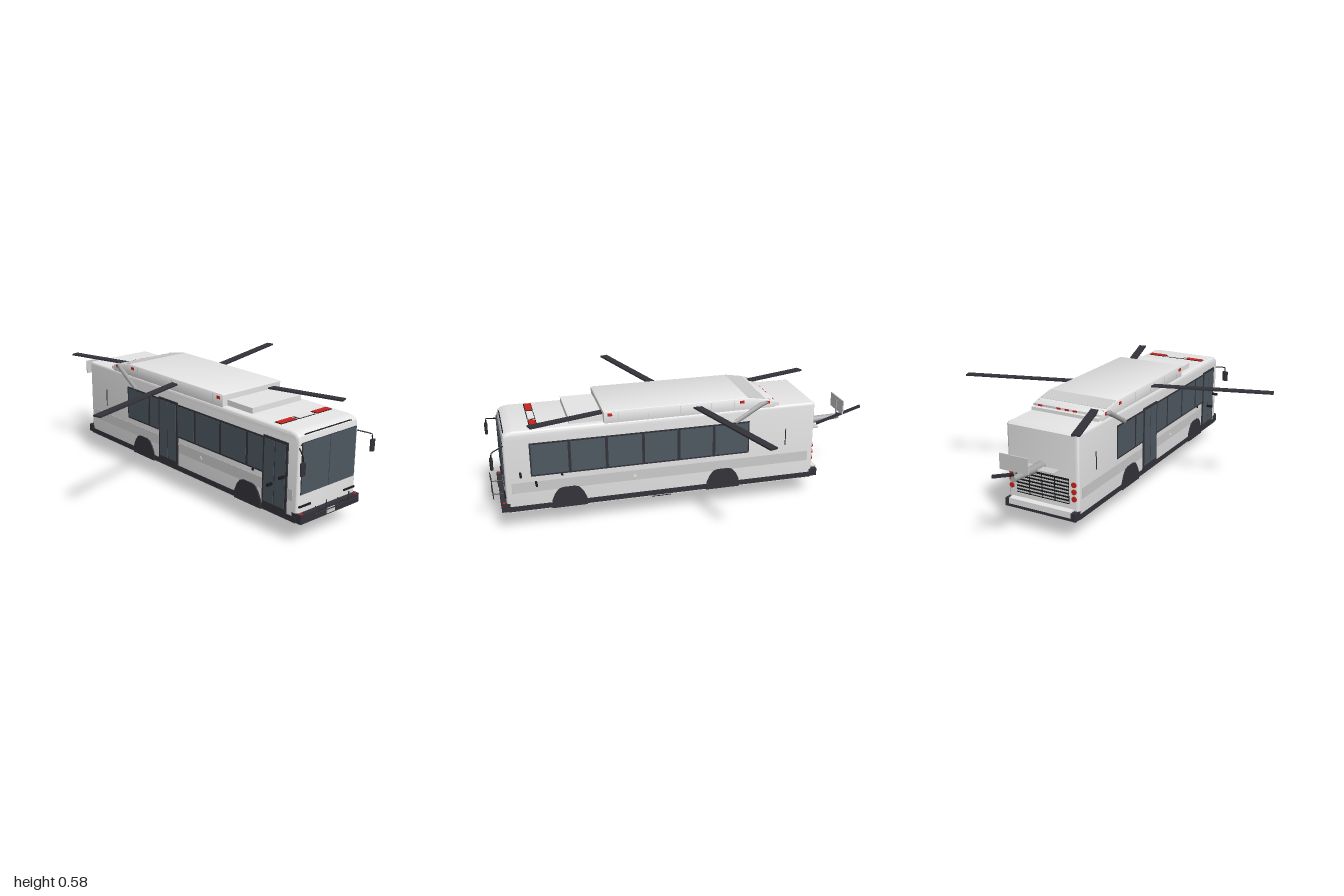
import * as THREE from 'three';
import { toCreasedNormals } from 'three/addons/utils/BufferGeometryUtils.js';

export function createModel() {
  const root = new THREE.Group();
  root.name = 'rotorBus';
  const mat = (name, color) => {
    const m = new THREE.MeshStandardMaterial({ color });
    m.name = name;
    return m;
  };
  const white = mat('bodyWhite', 0xe5e5e6), stripe = mat('stripeGrey', 0xcbcbcc);
  const dark = mat('darkTrim', 0x323239), black = mat('black', 0x1b1b1d);
  const glass = mat('glass', 0x4e5860), red = mat('red', 0xc8231e);
  const metal = mat('metalGrey', 0xa6a6a6), hullMat = mat('hullGrey', 0x929290);
  hullMat.side = THREE.DoubleSide;

  const add = (name, geo, material, parent = root) => {
    const m = new THREE.Mesh(geo, material);
    m.name = name;
    parent.add(m);
    return m;
  };
  // Box from its limits on each axis
  const box = (name, material, x0, x1, y0, y1, z0, z1, parent = root) => {
    const m = add(name, new THREE.BoxGeometry(x1 - x0, y1 - y0, z1 - z0), material, parent);
    m.position.set((x0 + x1) / 2, (y0 + y1) / 2, (z0 + z1) / 2);
    return m;
  };
  // Side outline of [z, y] points, extruded across x with a bevel
  const sideExtrude = (pts, halfWidth, bevel) => {
    const shape = new THREE.Shape(pts.map(([z, y]) => new THREE.Vector2(z, y)));
    const geo = new THREE.ExtrudeGeometry(shape, {
      depth: 2 * (halfWidth - bevel), bevelEnabled: bevel > 0,
      bevelThickness: bevel, bevelSize: bevel, bevelOffset: -bevel, bevelSegments: 4,
    });
    geo.translate(0, 0, -(halfWidth - bevel));
    geo.rotateY(-Math.PI / 2);
    return toCreasedNormals(geo, 0.6);
  };
  const rod = (name, points, r, material, parent = root) => {
    const path = new THREE.CurvePath();
    const v = points.map((p) => new THREE.Vector3(...p));
    for (let i = 1; i < v.length; i++) path.add(new THREE.LineCurve3(v[i - 1], v[i]));
    return add(name, new THREE.TubeGeometry(path, (v.length - 1) * 4, r, 8, false), material, parent);
  };

  // Body shell, dark skirt and bumpers
  add('body', sideExtrude([[-0.655, 0.105], [0.93, 0.105], [0.928, 0.475], [0.922, 0.5],
    [0.905, 0.513], [0.875, 0.519], [-0.645, 0.519], [-0.655, 0.509]], 0.195, 0.016), white);
  box('floor', white, -0.194, 0.194, 0.098, 0.112, -0.655, 0.925);
  box('skirt', dark, -0.197, 0.197, 0.103, 0.13, -0.65, 0.925);
  box('frontBumper', dark, -0.195, 0.195, 0.105, 0.148, 0.9, 0.955);
  box('rearBumper', dark, -0.195, 0.195, 0.105, 0.145, -0.685, -0.64);
  box('rearBumperStep', white, -0.17, 0.17, 0.122, 0.152, -0.69, -0.64);
  box('frontPlate', stripe, -0.026, 0.026, 0.112, 0.137, 0.955, 0.959);

  // Windscreen
  box('windscreenFrame', dark, -0.177, 0.177, 0.232, 0.473, 0.92, 0.931);
  for (const s of [-1, 1]) {
    const a = s * 0.002, b = s * 0.175;
    box('windscreenPane', glass, Math.min(a, b), Math.max(a, b), 0.234, 0.471, 0.926, 0.934);
  }
  rod('browTrim', [[-0.182, 0.46, 0.926], [-0.176, 0.502, 0.916], [0.176, 0.502, 0.916],
    [0.182, 0.46, 0.926]], 0.004, black);

  // Sides
  const archPts = [[-0.088, 0.1], [-0.086, 0.14], [-0.07, 0.175], [-0.05, 0.2], [-0.03, 0.207],
    [0.03, 0.207], [0.05, 0.2], [0.07, 0.175], [0.086, 0.14], [0.088, 0.1]].reverse();
  for (const s of [-1, 1]) {
    const side = new THREE.Group();
    side.name = s > 0 ? 'leftSide' : 'rightSide';
    root.add(side);
    const plate = (name, m, z0, z1, y0, y1, x = 0.197, t = 0.006) =>
      box(name, m, s > 0 ? x - t : -x, s > 0 ? x : t - x, y0, y1, z0, z1, side);

    plate('stripe', stripe, -0.625, 0.9, 0.2, 0.253, 0.1965);
    plate('windowFrame', dark, -0.3, 0.805, 0.281, 0.453, 0.198);
    const edges = [0.805, 0.615, 0.433, 0.25, 0.07, -0.113, -0.3];
    for (let i = 0; i < 6; i++)
      plate('sideWindow', glass, edges[i + 1] + 0.007, edges[i] - 0.007, 0.289, 0.445, 0.199);
    // Passenger doors on the right side
    if (s < 0) for (const z of [-0.03, 0.72]) {
      plate('doorFrame', dark, z, z + 0.15, 0.125, 0.462, 0.202);
      for (const k of [0, 1])
        plate('doorGlass', glass, z + 0.01 + k * 0.068, z + 0.072 + k * 0.068, 0.15, 0.45, 0.204);
    }
    for (const z of [0.625, -0.163]) {
      const arch = add('wheelArch', sideExtrude(archPts, 0.004, 0), dark, side);
      arch.position.set(s * 0.197, 0, z);
    }
    plate('rearHandle', dark, -0.5, -0.496, 0.3, 0.39, 0.198);
    plate('fillerCap', white, 0.289, 0.301, 0.217, 0.229, 0.199);
    plate('sideMarker', black, 0.65, 0.66, 0.27, 0.28, 0.2);

    // Short side sensors
    for (const [z, y] of [[0.855, 0.303], [0.783, 0.248]]) {
      box('sensorArm', black, s > 0 ? 0.19 : -0.236, s > 0 ? 0.236 : -0.19, y - 0.006, y + 0.006,
        z - 0.005, z + 0.005, side);
    }
    // Mirror on a bent arm
    rod('mirrorArm', [[s * 0.185, 0.45, 0.92], [s * 0.215, 0.442, 0.965], [s * 0.228, 0.437, 0.982],
      [s * 0.23, 0.4, 0.985]], 0.003, black, side);
    const mirror = add('mirror', new THREE.CylinderGeometry(0.017, 0.015, 0.056, 10), dark, side);
    mirror.scale.z = 0.5;
    mirror.position.set(s * 0.23, 0.383, 0.985);

    // Front rods and lamps
    rod('frontRod', [[s * 0.075, 0.15, 0.925], [s * 0.075, 0.152, 0.99], [s * 0.075, 0.205, 0.992]],
      0.0025, dark, side);
    const fx = (n, m, a, b, ...r) => box(n, m, s > 0 ? a : -b, s > 0 ? b : -a, ...r, side);
    fx('headlampBar', black, 0.11, 0.185, 0.174, 0.182, 0.925, 0.936);
    fx('bumperLamp', red, 0.172, 0.188, 0.142, 0.1495, 0.935, 0.948);
    // Roof lamps
    fx('roofLampTray', black, 0.064, 0.168, 0.513, 0.5205, 0.753, 0.793);
    fx('roofLamp', red, 0.068, 0.164, 0.516, 0.5235, 0.757, 0.789);
    // Tail lamps
    for (const y of [0.205, 0.24, 0.275]) {
      const lamp = add('tailLamp', new THREE.CylinderGeometry(0.013, 0.013, 0.008, 16), red, side);
      lamp.rotation.x = Math.PI / 2;
      lamp.position.set(s * 0.172, y, -0.656);
    }
    // Exhaust strut and pod marker lamps
    rod('exhaustStrut', [[s * 0.194, 0.455, -0.225], [s * 0.19, 0.54, -0.37], [s * 0.175, 0.545, -0.41]],
      0.013, metal, side);
    for (const [z, y] of [[0.41, 0.557], [-0.26, 0.557], [-0.395, 0.543]])
      plate('podLamp', red, z - 0.011, z + 0.011, y - 0.007, y + 0.007, 0.193);
    for (const z of [0.37, 0.22, 0.06, -0.1, -0.22])
      plate('podSeam', stripe, z - 0.001, z + 0.001, 0.525, 0.568, 0.1905);
  }
  rod('frontCrossRod', [[-0.14, 0.153, 0.988], [0.135, 0.153, 0.988]], 0.0025, dark);
  box('roofLampTray', black, -0.053, 0.053, 0.513, 0.5205, 0.753, 0.793);
  box('centreRoofLamp', white, -0.049, 0.049, 0.516, 0.5235, 0.757, 0.789);

  // Roof pod with sloped tail and lower front step
  add('roofPod', sideExtrude([[-0.435, 0.51], [0.44, 0.51], [0.44, 0.572], [0.432, 0.576],
    [-0.29, 0.576], [-0.385, 0.56], [-0.435, 0.546]], 0.19, 0.003), white);
  add('podSlope', sideExtrude([[-0.385, 0.5612], [-0.29, 0.5772], [-0.29, 0.572], [-0.385, 0.556]].reverse(),
    0.186, 0), stripe);
  box('podStep', white, -0.16, 0.16, 0.512, 0.546, 0.43, 0.605);
  box('podTailLip', white, -0.185, 0.185, 0.512, 0.535, -0.458, -0.43);
  for (const x of [-0.15, -0.045, 0, 0.045, 0.15])
    box('podTailLamp', red, x - 0.011, x + 0.011, 0.537, 0.545, -0.44, -0.432);

  // Main rotor: four blades
  const rotor = new THREE.Group();
  rotor.name = 'mainRotor';
  rotor.position.set(0, 0.552, 0.03);
  rotor.rotation.y = 0.299;
  root.add(rotor);
  for (let i = 0; i < 4; i++) {
    const arm = new THREE.Group();
    arm.name = 'rotorBlade';
    arm.rotation.y = i * Math.PI / 2;
    rotor.add(arm);
    box('blade', dark, 0.05, 0.808, -0.004, 0.004, -0.02, 0.02, arm);
  }

  // Rear wall: slatted grille
  box('grille', black, -0.145, 0.145, 0.175, 0.3, -0.657, -0.65);
  for (let i = 0; i < 7; i++)
    box('grilleSlat', stripe, -0.143, 0.143, 0.181 + i * 0.017, 0.188 + i * 0.017, -0.6595, -0.655);
  for (const x of [-0.07, 0, 0.07]) box('grillePost', black, x - 0.002, x + 0.002, 0.176, 0.3, -0.6605, -0.655);

  // Tail boom, stabiliser, fin and tail rotor
  const boom = add('tailBoom', new THREE.CylinderGeometry(0.014, 0.022, 0.23, 12), metal);
  boom.rotation.x = -Math.PI / 2 + 0.05;
  boom.position.set(0, 0.345, -0.765);
  box('stabiliser', stripe, -0.106, 0.103, 0.336, 0.342, -0.722, -0.672);
  box('tailFin', stripe, -0.078, 0.073, 0.385, 0.46, -0.876, -0.87);
  rod('finPost', [[0, 0.345, -0.868], [0, 0.45, -0.868]], 0.005, metal);
  rod('tailRotorShaft', [[-0.005, 0.365, -0.872], [0.024, 0.365, -0.872]], 0.007, black);
  const tail = box('tailRotorBlade', dark, 0.018, 0.024, 0.357, 0.373, -1.003, -0.741);
  tail.rotation.x = 0.29;

  // Belly hull lofted from V-shaped sections: [z, half width, keel y]
  const stations = [[0.64, 0.03, 0.09], [0.55, 0.075, 0.068], [0.43, 0.1, 0.036], [0.3, 0.11, 0.03],
    [0, 0.11, 0.028], [-0.2, 0.085, 0.03], [-0.33, 0.035, 0.034]];
  const N = 12, pos = [], idx = [];
  for (const [z, w, y] of stations)
    for (let i = 0; i <= N; i++) {
      const t = -1 + 2 * i / N;
      pos.push(t * w, y + (0.104 - y) * Math.pow(Math.abs(t), 1.6), z);
    }
  for (let j = 0; j < stations.length - 1; j++)
    for (let i = 0; i < N; i++) {
      const a = j * (N + 1) + i, b = a + N + 1;
      idx.push(a, b, a + 1, a + 1, b, b + 1);
    }
  for (const j of [0, stations.length - 1])
    for (let i = 1; i < N; i++) {
      const o = j * (N + 1);
      if (j) idx.push(o, o + i + 1, o + i); else idx.push(o, o + i, o + i + 1);
    }
  const hull = new THREE.BufferGeometry();
  hull.setAttribute('position', new THREE.Float32BufferAttribute(pos, 3));
  hull.setIndex(idx);
  add('bellyHull', toCreasedNormals(hull, 0.7), hullMat);

  // Under-frame and centre wheel
  for (const s of [-1, 1]) {
    rod('frameRail', [[s * 0.13, 0.092, 0.68], [s * 0.122, 0.074, 0.35], [s * 0.118, 0.072, 0],
      [s * 0.125, 0.092, -0.32]], 0.009, black);
    box('frameBracket', black, s * 0.135 - 0.013, s * 0.135 + 0.013, 0.07, 0.1, 0.1, 0.2);
  }
  box('frontCrossbeam', black, -0.15, 0.15, 0.084, 0.1, 0.63, 0.7);
  box('rearUnderPlate', black, -0.14, 0.14, 0.09, 0.1, -0.48, -0.3);
  box('hullStrap', black, -0.113, 0.113, 0.068, 0.1, 0.2, 0.23);
  const wheel = add('centreWheel', new THREE.CylinderGeometry(0.04, 0.04, 0.03, 24), dark);
  wheel.rotation.z = Math.PI / 2;
  wheel.position.set(0, 0.04, 0.13);
  return root;
}
